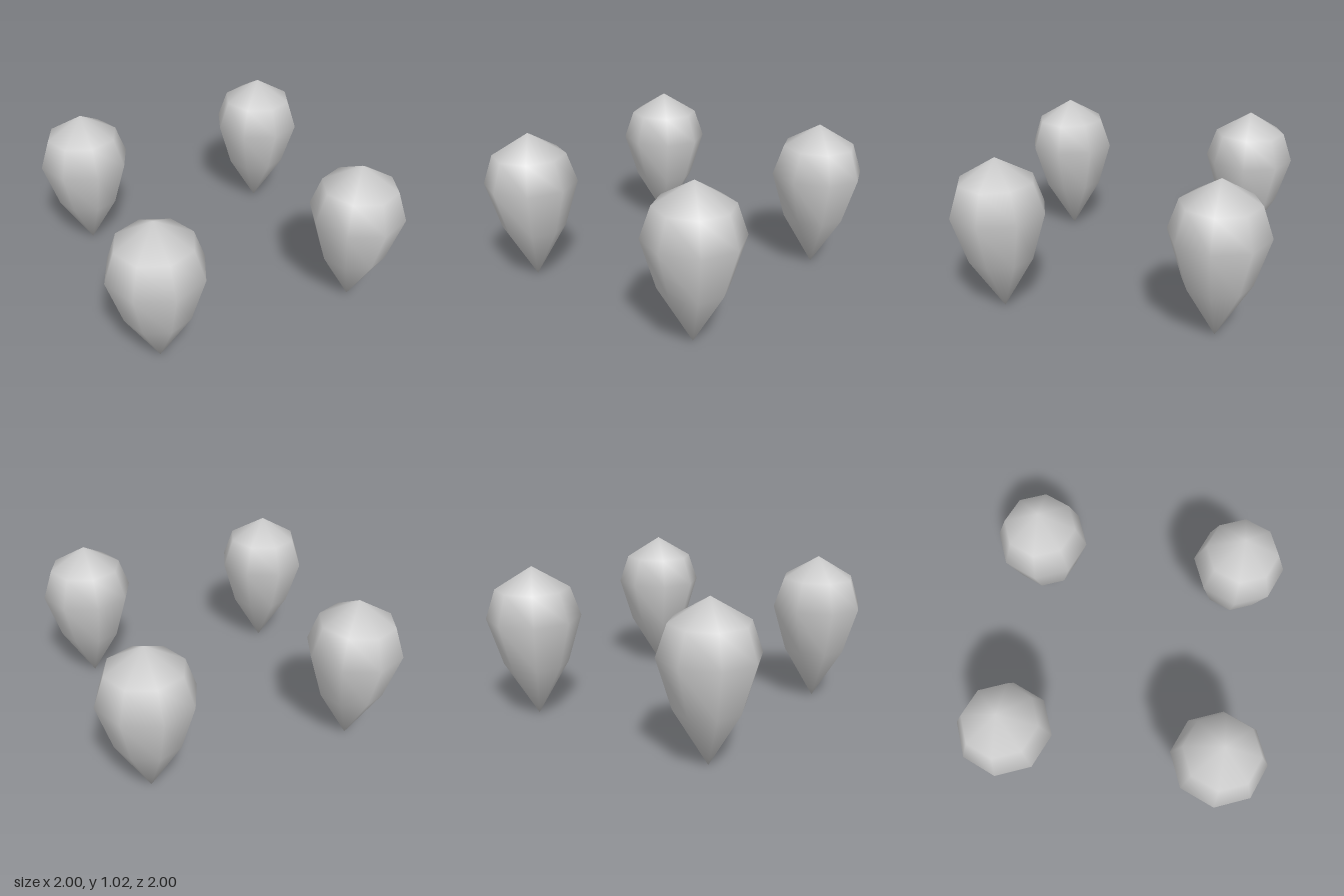
import * as THREE from 'three';
import { mergeVertices } from 'three/addons/utils/BufferGeometryUtils.js';

// Eight-sided teardrop, pointed at both ends, with normals shared across all faces
function podGeometry() {
  const profile = [[0, 0], [0.215, 0.365], [0.31, 0.68], [0.243, 0.875], [0, 1.02]]
    .map(([r, y]) => new THREE.Vector2(r, y));
  const lathe = new THREE.LatheGeometry(profile, 8);
  lathe.deleteAttribute('normal');
  lathe.deleteAttribute('uv');
  const geometry = mergeVertices(lathe);
  geometry.computeVertexNormals();
  return geometry;
}

export function createModel() {
  const group = new THREE.Group();
  group.name = 'pods';
  const geometry = podGeometry();
  const material = new THREE.MeshStandardMaterial({ color: 0xcccccc });

  // One pod at each corner of a square
  for (const [xName, x] of [['Left', 0.69], ['Right', -0.69]]) {
    for (const [zName, z] of [['front', 0.69], ['back', -0.69]]) {
      const pod = new THREE.Mesh(geometry, material);
      pod.name = `${zName}${xName}Pod`;
      pod.position.set(x, 0, z);
      group.add(pod);
    }
  }
  return group;
}
